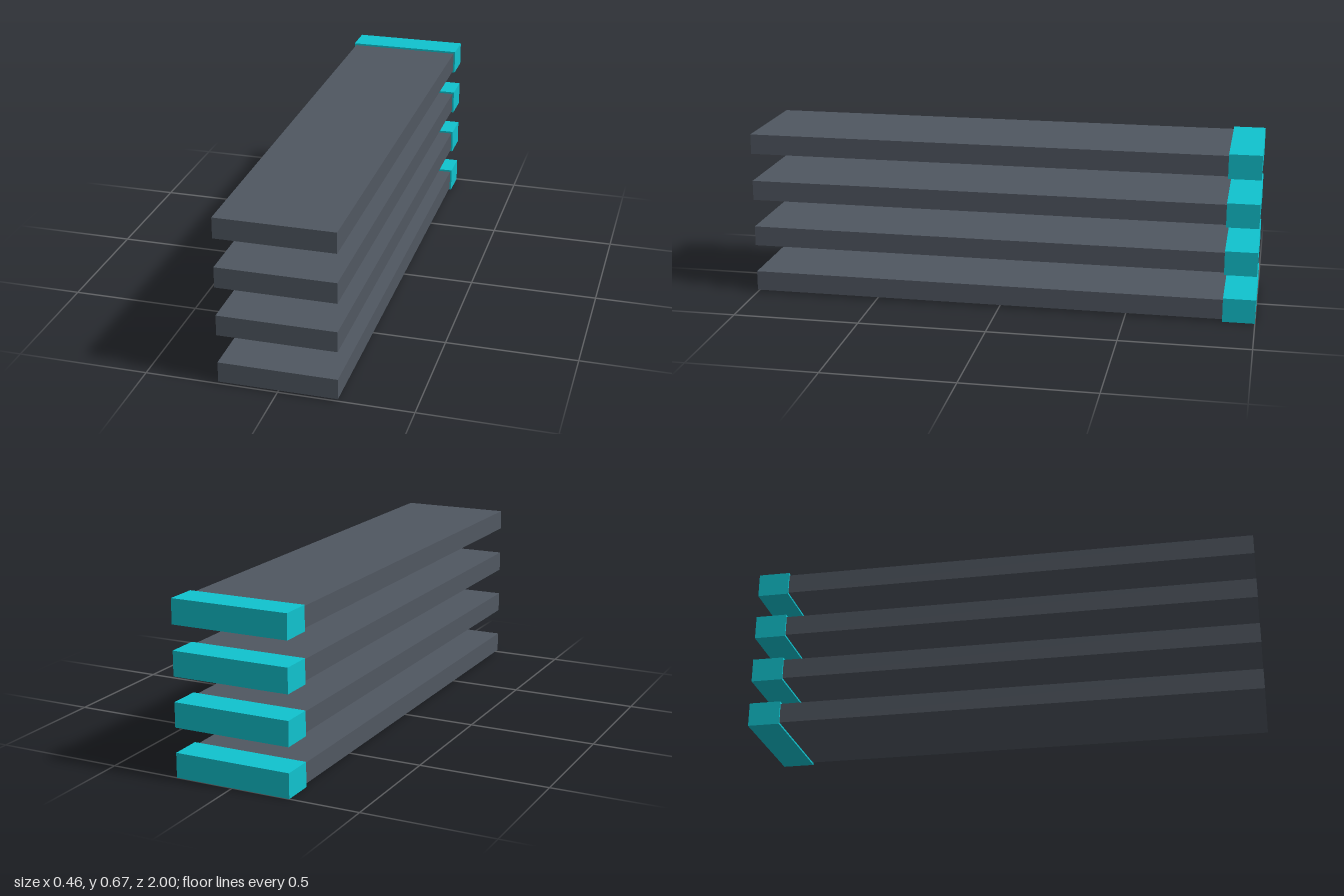
import * as THREE from 'three';

export function createModel() {
  const group = new THREE.Group();
  const slate = new THREE.MeshStandardMaterial({ color: 0x505761 });
  slate.name = 'slate grey';
  const cyan = new THREE.MeshStandardMaterial({ color: 0x10c3cf });
  cyan.name = 'cyan';

  const capHeight = 0.095, capDepth = 0.125, pitch = 0.19;
  const boardLength = 1.99;
  const boardGeometry = new THREE.BoxGeometry(0.445, 0.079, boardLength);
  const capGeometry = new THREE.BoxGeometry(0.459, capHeight, capDepth);

  // Four stacked boards, each with a sleeve over its back end
  for (let i = 0; i < 4; i++) {
    const y = capHeight / 2 + i * pitch;

    const board = new THREE.Mesh(boardGeometry, slate);
    board.name = `board${i + 1}`;
    board.position.set(0, y, 1 - boardLength / 2);

    const cap = new THREE.Mesh(capGeometry, cyan);
    cap.name = `endCap${i + 1}`;
    cap.position.set(0, y, -1 + capDepth / 2);

    group.add(board, cap);
  }
  return group;
}
